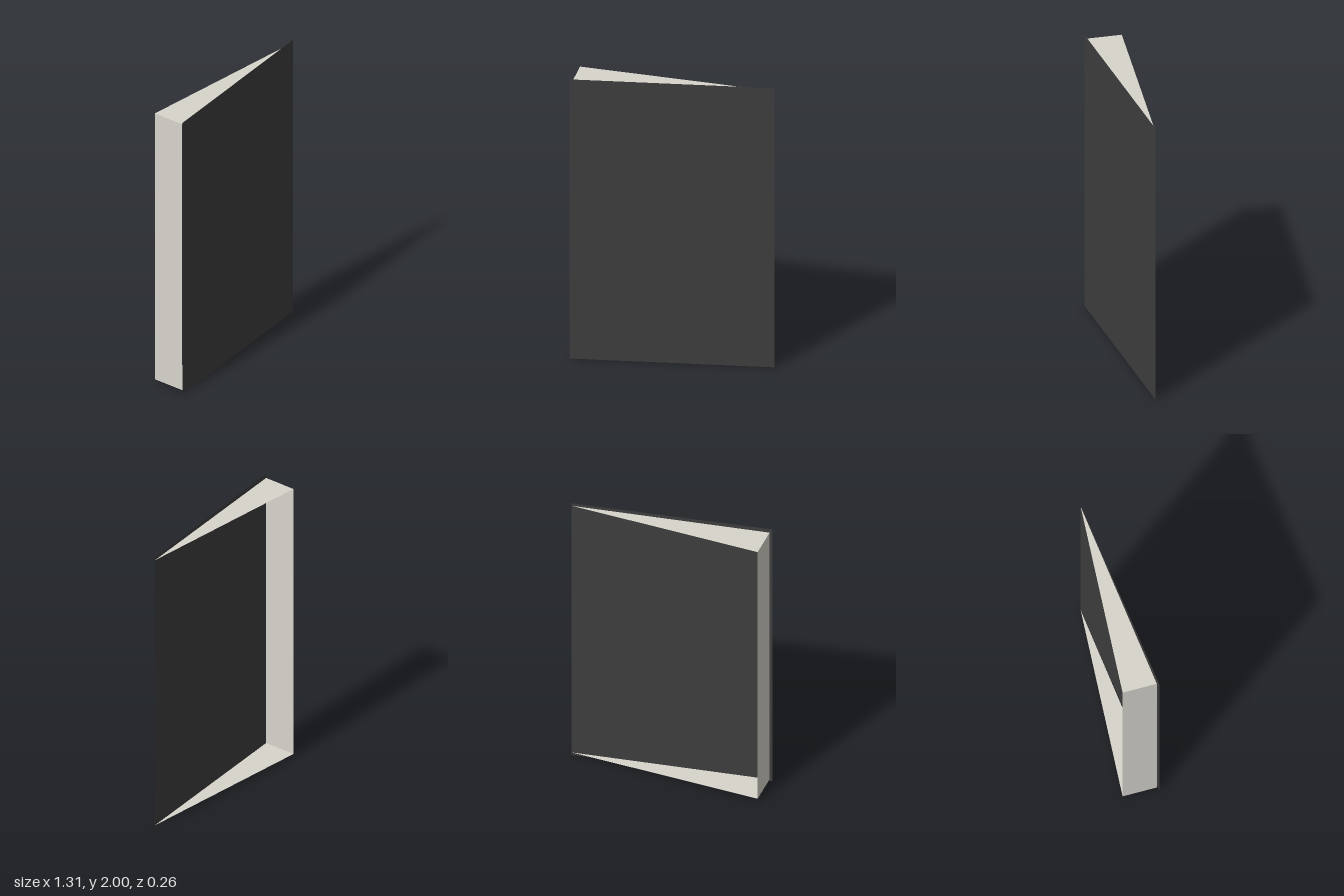
import * as THREE from 'three';

// Plan corners (x, z): the hinge line, the free cover edge and the two page corners.
const HINGE = [0.652, -0.129];
const COVER_EDGE = [-0.652, 0.131];
const PAGE_FRONT = [-0.639, 0.117];
const PAGE_BACK = [-0.656, -0.112];
const HEIGHT = 2;
const MARGIN = 0.02;

// Upright rectangle standing on the plan line from a to b.
function wall(a, b, bottom, top) {
  const dx = b[0] - a[0], dz = b[1] - a[1];
  const geometry = new THREE.PlaneGeometry(Math.hypot(dx, dz), top - bottom);
  geometry.rotateY(Math.atan2(-dz, dx));
  geometry.translate((a[0] + b[0]) / 2, (bottom + top) / 2, (a[1] + b[1]) / 2);
  return geometry;
}

// Flat horizontal sheet through plan corners at height y.
function sheet(corners, y) {
  const shape = new THREE.Shape(corners.map(([x, z]) => new THREE.Vector2(x, -z)));
  return new THREE.ShapeGeometry(shape).rotateX(-Math.PI / 2).translate(0, y, 0);
}

export function createModel() {
  const coverMaterial = new THREE.MeshStandardMaterial({ color: 0x3e3e3e, side: THREE.DoubleSide });
  coverMaterial.name = 'charcoal cover';
  const paperMaterial = new THREE.MeshStandardMaterial({ color: 0xd8d4cc, side: THREE.DoubleSide });
  paperMaterial.name = 'cream paper';

  const model = new THREE.Group();
  model.name = 'wedgeBook';
  const add = (name, geometry, material) => {
    const mesh = new THREE.Mesh(geometry, material);
    mesh.name = name;
    model.add(mesh);
  };

  // Thin front cover, swung open from the hinge
  add('frontCover', wall(COVER_EDGE, HINGE, 0, HEIGHT), coverMaterial);

  // Paper shell: wedge-shaped ends and the fore edge, open at the back
  const wedge = [PAGE_FRONT, HINGE, PAGE_BACK];
  add('pageTop', sheet(wedge, HEIGHT - MARGIN), paperMaterial);
  add('pageBottom', sheet(wedge, MARGIN), paperMaterial);
  add('pageForeEdge', wall(PAGE_BACK, PAGE_FRONT, MARGIN, HEIGHT - MARGIN), paperMaterial);

  return model;
}
